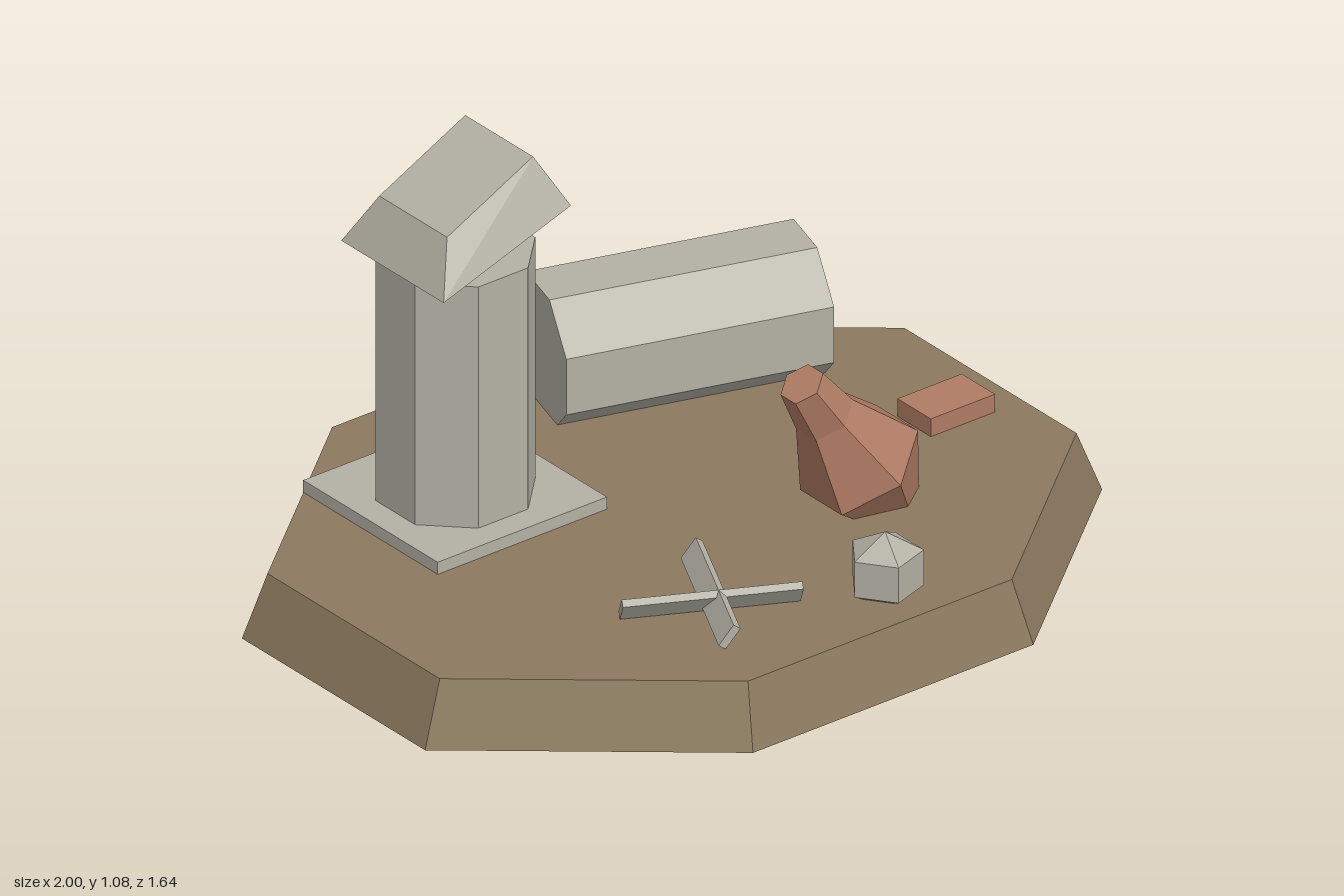
import * as THREE from 'three';

const earth = new THREE.MeshStandardMaterial({ color: 0x8c7a5f });
earth.name = 'earth';
const stone = new THREE.MeshStandardMaterial({ color: 0xb4b1a5 });
stone.name = 'stone';
const rust = new THREE.MeshStandardMaterial({ color: 0xb07c64 });
rust.name = 'rust';

const GROUND = 0.16;

export function createModel() {
  const model = new THREE.Group();
  model.name = 'ruinDiorama';

  // Adds a faceted mesh
  function add(name, geometry, material, x, y, z) {
    const flat = geometry.index ? geometry.toNonIndexed() : geometry;
    flat.computeVertexNormals();
    const mesh = new THREE.Mesh(flat, material);
    mesh.name = name;
    mesh.position.set(x, y, z);
    model.add(mesh);
    return mesh;
  }

  const lathe = (points, sides, start = 0) => new THREE.LatheGeometry(
    points.map(([r, y]) => new THREE.Vector2(r, y)), sides, start);

  // Octagonal drum with its flats on the axes
  const octagon = (top, bottom, height) =>
    new THREE.CylinderGeometry(top, bottom, height, 8).rotateY(Math.PI / 8);

  // Ground slab
  add('ground', octagon(1.018, 1.0824, GROUND).scale(1, 1, 0.822), earth, 0, GROUND / 2, 0);

  // Standing tower on a square plinth
  add('plinth', new THREE.BoxGeometry(0.5, 0.04, 0.5), stone, -0.385, 0.172, -0.322);
  add('tower', octagon(0.192, 0.192, 0.65), stone, -0.387, 0.505, -0.318);

  // Slipped cap: a box tapered upward, with its right side lifted
  const cap = new THREE.BoxGeometry(2, 2, 2);
  const p = cap.attributes.position;
  for (let i = 0; i < p.count; i++) {
    const sx = p.getX(i), sz = p.getZ(i), upper = p.getY(i) > 0;
    if (upper) p.setXYZ(i, -0.385 + sx * 0.127, 1.02 + sx * 0.063, -0.318 + sz * 0.126);
    else p.setXYZ(i, -0.385 + sx * 0.188, 0.896 + sx * 0.064, -0.318 + sz * 0.19);
  }
  add('towerCap', cap, stone, 0, 0, 0);

  // Fallen column section, partly sunk
  add('fallenColumn', octagon(0.192, 0.192, 0.668).rotateZ(Math.PI / 2),
    stone, 0.38, 0.288, -0.48).rotation.y = -0.288;

  // Leaning six-sided vessel
  add('leaningVessel', lathe([
    [0, -0.17], [0.075, -0.17], [0.155, 0], [0.075, 0.187], [0.056, 0.31], [0, 0.31],
  ], 6), rust, 0.35, 0.264, 0.255).rotation.z = 0.577;

  // Loose brick
  add('brick', new THREE.BoxGeometry(0.19, 0.05, 0.124), rust, 0.761, 0.182, 0.062);

  // Crossed, pitched slats
  for (const [x, z, turn] of [[-0.254, 0.465, -0.465], [-0.234, 0.438, 1.106]]) {
    add('crossSlat', new THREE.BoxGeometry(0.427, 0.02, 0.062).rotateX(-0.96),
      stone, x, 0.193, z).rotation.y = turn;
  }

  // Small five-sided pointed stone
  add('pointedStone', lathe([
    [0, 0.125], [0.09, 0.175], [0.09, 0.268], [0, 0.318],
  ], 5, -Math.PI / 2), stone, 0.125, 0, 0.635);

  return model;
}
